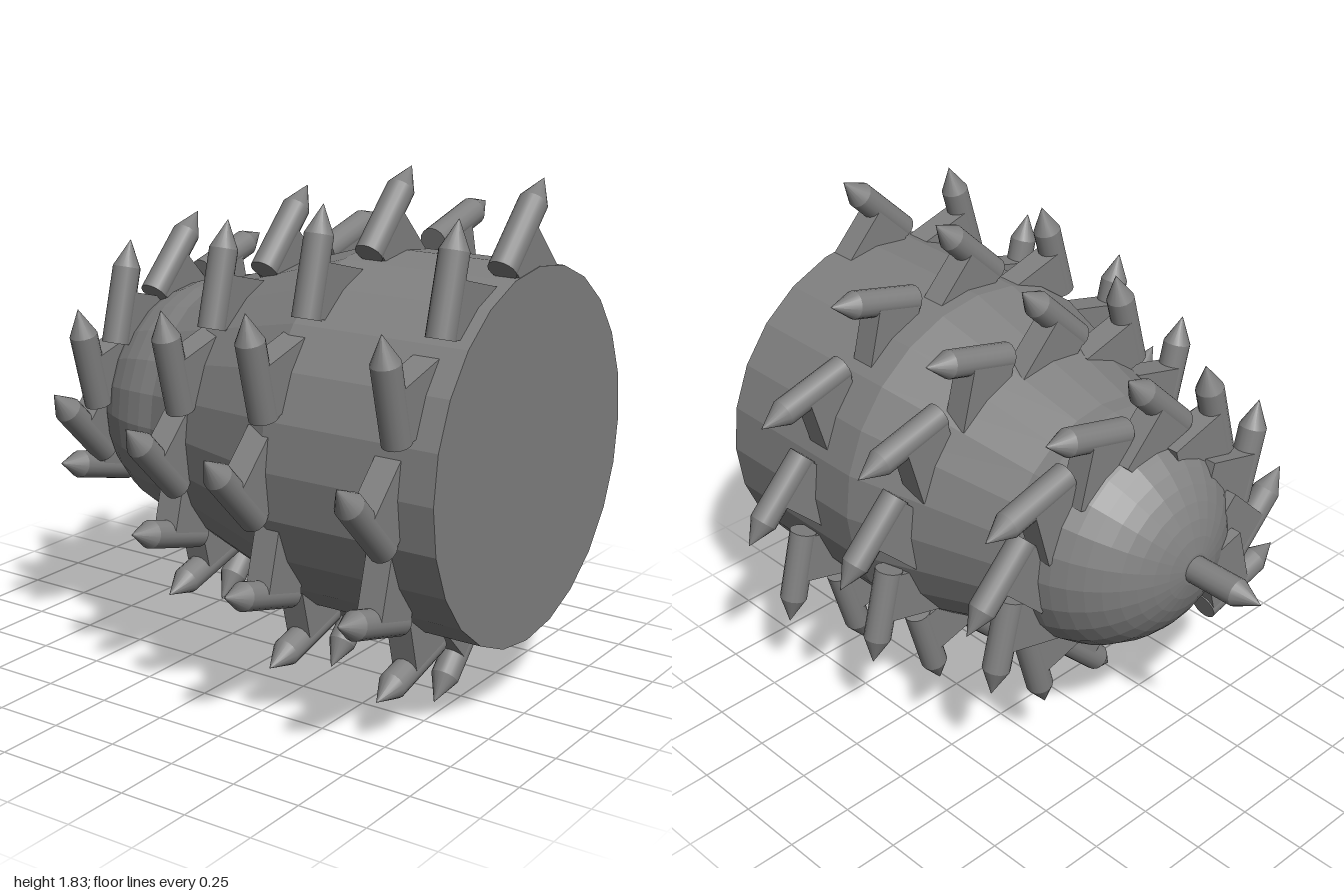
import * as THREE from 'three';

const AXIS_Y = 0.917, R = 0.645, R_DOME = 0.455, X_DOME = -0.26, X_CONE = 0.35;

// drum radius at a position along the axis
function radiusAt(x) {
  if (x >= X_CONE) return R;
  if (x >= X_DOME) return THREE.MathUtils.lerp(R_DOME, R, (x - X_DOME) / (X_CONE - X_DOME));
  return Math.sqrt(R_DOME ** 2 - (x - X_DOME) ** 2);
}

export function createModel() {
  const model = new THREE.Group();
  model.name = 'cutterHead';
  const smooth = new THREE.MeshStandardMaterial({ color: 0x808080 });
  const flat = new THREE.MeshStandardMaterial({ color: 0x808080, flatShading: true });

  const add = (parent, name, geometry, material = smooth) => {
    const mesh = new THREE.Mesh(geometry, material);
    mesh.name = name;
    parent.add(mesh);
  };

  const head = new THREE.Group();
  head.name = 'head';
  head.position.y = AXIS_Y;
  model.add(head);

  // drum: cylinder, cone and dome turned in one profile
  const profile = [[0, -1], [R, -1], [R, -X_CONE]].map(p => new THREE.Vector2(...p));
  const rings = 12;
  for (let i = 0; i <= rings; i++) {
    const a = (i / rings) * Math.PI / 2;
    profile.push(new THREE.Vector2(i === rings ? 0 : R_DOME * Math.cos(a), -X_DOME + R_DOME * Math.sin(a)));
  }
  add(head, 'drum', new THREE.LatheGeometry(profile, 24).rotateZ(Math.PI / 2), flat);

  // pick parts, built along +y from the foot of the pick
  const shank = new THREE.CylinderGeometry(0.05, 0.05, 0.275, 16).translate(0, 0.1375, 0);
  const point = new THREE.ConeGeometry(0.05, 0.1, 16).translate(0, 0.325, 0);
  // holder block fills the wedge between the shank and the drum
  const holder = new THREE.BoxGeometry(0.095, 0.185, 0.24).translate(0, 0.0975, -0.12);

  // nose pick on the axis
  const nose = new THREE.Group();
  nose.name = 'nosePick';
  nose.rotation.z = Math.PI / 2;
  nose.position.x = -0.625;
  add(nose, 'noseShank', shank);
  add(nose, 'nosePoint', point);
  head.add(nose);

  // one leaning pick with its holder block
  function addPick(x, angle) {
    const arm = new THREE.Group();
    arm.name = 'pickMount';
    arm.rotation.x = angle;
    const pick = new THREE.Group();
    pick.name = 'pick';
    pick.position.set(x, radiusAt(x) + 0.005, 0.165);
    pick.rotation.x = -Math.PI / 4;
    add(pick, 'pickShank', shank);
    add(pick, 'pickPoint', point);
    add(pick, 'pickHolder', holder);
    arm.add(pick);
    head.add(arm);
  }

  // two spiral rows, twelve picks per turn: [start x, step, first index, count]
  for (const [x0, step, first, count] of [[0.95, 0.0417, 0, 16], [0.35, 0.041, 4, 25]]) {
    for (let i = 0; i < count; i++) addPick(x0 - step * i, (first + i) * Math.PI / 6);
  }
  return model;
}
